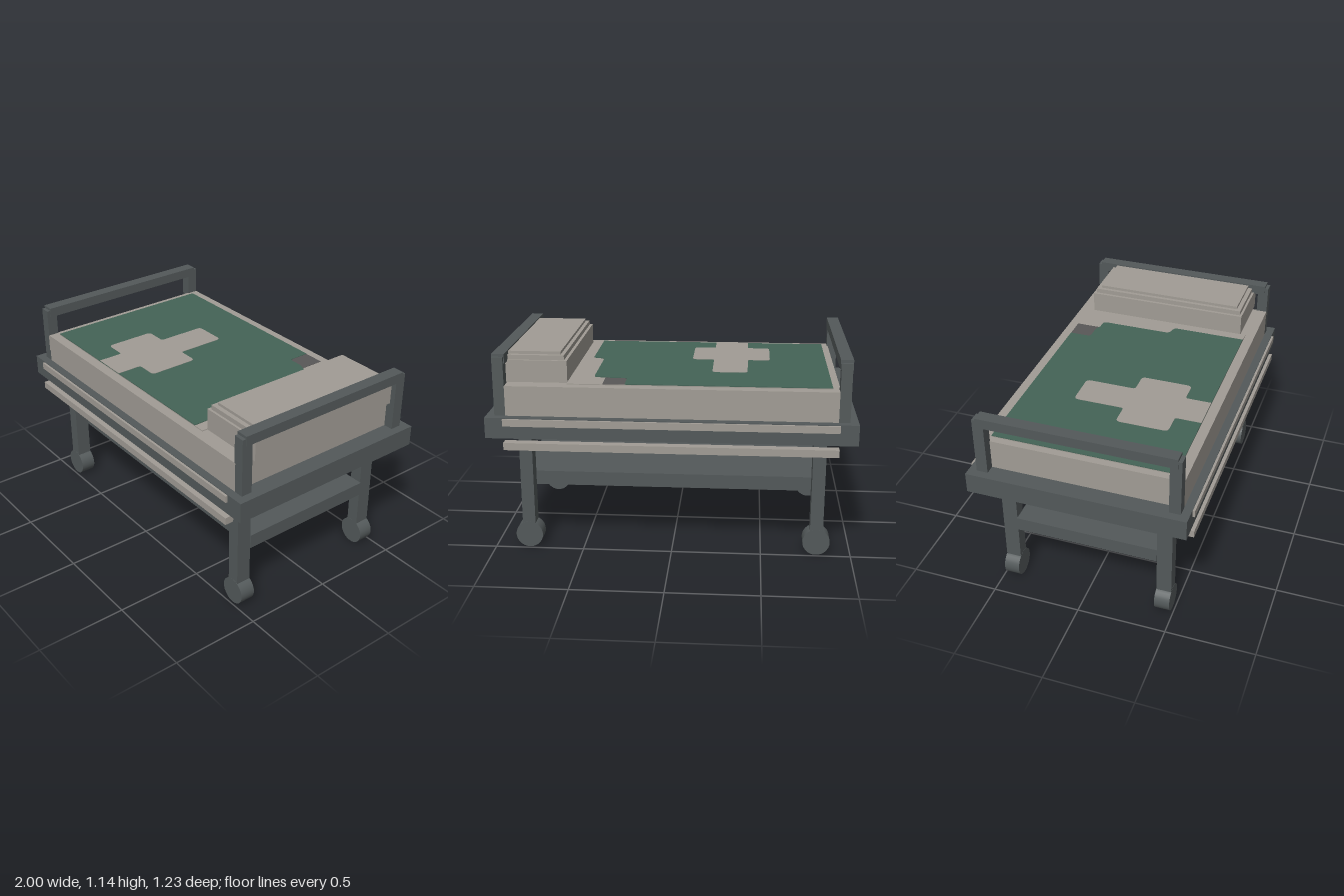
import * as THREE from 'three';

const mat = (name, color) => {
  const m = new THREE.MeshStandardMaterial({ color });
  m.name = name;
  return m;
};

export function createModel() {
  const group = new THREE.Group();
  const frame = mat('darkGreyFrame', 0x53595a);
  const linen = mat('warmGreyLinen', 0xa19c95);
  const green = mat('greenBlanket', 0x446356);
  const patch = mat('greyLining', 0x595757);

  const add = (name, geometry, material) => {
    const mesh = new THREE.Mesh(geometry, material);
    mesh.name = name;
    group.add(mesh);
    return mesh;
  };
  // Box given by its min and max on each axis
  const box = (name, material, x0, x1, y0, y1, z0, z1) =>
    add(name, new THREE.BoxGeometry(x1 - x0, y1 - y0, z1 - z0), material)
      .position.set((x0 + x1) / 2, (y0 + y1) / 2, (z0 + z1) / 2);

  // Thin flat plate from [x, z, cornerRadius] points
  const plate = (name, material, points, y, thickness) => {
    const v = points.map(([x, z, r = 0]) => ({ p: new THREE.Vector2(x, -z), r }));
    const shape = new THREE.Shape();
    v.forEach(({ p, r }, i) => {
      const toward = (q) => q.clone().sub(p).setLength(r).add(p);
      const a = toward(v[(i + v.length - 1) % v.length].p);
      const b = toward(v[(i + 1) % v.length].p);
      if (i === 0) shape.moveTo(a.x, a.y);
      else shape.lineTo(a.x, a.y);
      if (r > 0) shape.quadraticCurveTo(p.x, p.y, b.x, b.y);
    });
    const geometry = new THREE.ExtrudeGeometry(shape, { depth: thickness, bevelEnabled: false, curveSegments: 4 });
    geometry.rotateX(-Math.PI / 2);
    add(name, geometry, material).position.y = y;
  };

  // Bed deck and lower shelf
  box('deck', frame, -1, 1, 0.685, 0.8, -0.6, 0.6);
  box('lowerShelf', frame, -0.85, 0.85, 0.35, 0.43, -0.402, 0.402);

  // Legs and wheels
  for (const sx of [-1, 1]) {
    for (const sz of [-1, 1]) {
      const x = sx * 0.808, z = sz * 0.443;
      box('leg', frame, x - 0.036, x + 0.036, 0.076, 0.69, z - 0.042, z + 0.042);
      const wheel = add('wheel', new THREE.CylinderGeometry(0.076, 0.076, 0.086, 28).rotateX(Math.PI / 2), frame);
      wheel.position.set(x, 0.076, z);
    }
  }

  // Head and foot hoops
  for (const sx of [-1, 1]) {
    const x = sx * 0.924;
    for (const sz of [-1, 1]) {
      const z = sz * 0.524;
      box('hoopPost', frame, x - 0.03, x + 0.03, 0.79, 1.122, z - 0.031, z + 0.031);
    }
    box('hoopBar', frame, x - 0.034, x + 0.034, 1.082, 1.137, -0.535, 0.535);
  }

  // Side rails
  for (const sz of [-1, 1]) {
    const z = sz * 0.588;
    box('upperRail', linen, -0.9, 0.9, 0.757, 0.796, z - 0.025, z + 0.025);
    box('lowerRail', linen, -0.9, 0.9, 0.623, 0.664, z - 0.025, z + 0.025);
  }

  // Mattress and stepped pillow
  box('mattress', linen, -0.9, 0.9, 0.795, 0.966, -0.555, 0.555);
  box('pillowBase', linen, 0.565, 0.945, 0.966, 1.088, -0.468, 0.468);
  box('pillowMiddle', linen, 0.582, 0.93, 1.08, 1.114, -0.455, 0.455);
  box('pillowTop', linen, 0.603, 0.92, 1.11, 1.13, -0.43, 0.43);

  // Sheet, turned-back blanket and cross
  plate('sheet', linen, [[-0.86, -0.5], [0.565, -0.5], [0.565, 0.5], [-0.86, 0.5]], 0.966, 0.005);
  plate('blanketLining', patch, [[0.25, -0.5], [0.37, -0.5], [0.37, -0.35], [0.25, -0.35]], 0.971, 0.002);
  plate('blanket', green, [
    [-0.86, -0.5], [0.25, -0.5], [0.25, -0.375, 0.02], [0.345, -0.375, 0.02], [0.375, -0.358, 0.01],
    [0.435, -0.358, 0.025], [0.435, 0.06, 0.025], [0.5, 0.075, 0.02], [0.5, 0.5], [-0.86, 0.5],
  ], 0.971, 0.004);
  plate('cross', linen, [
    [-0.407, -0.22, 0.025], [-0.21, -0.22, 0.025], [-0.21, 0.065, 0.015], [-0.085, 0.065, 0.025],
    [-0.085, 0.355, 0.025], [-0.21, 0.355, 0.015], [-0.21, 0.5], [-0.407, 0.5],
    [-0.407, 0.355, 0.015], [-0.535, 0.355, 0.025], [-0.535, 0.065, 0.025], [-0.407, 0.065, 0.015],
  ], 0.974, 0.003);

  return group;
}
